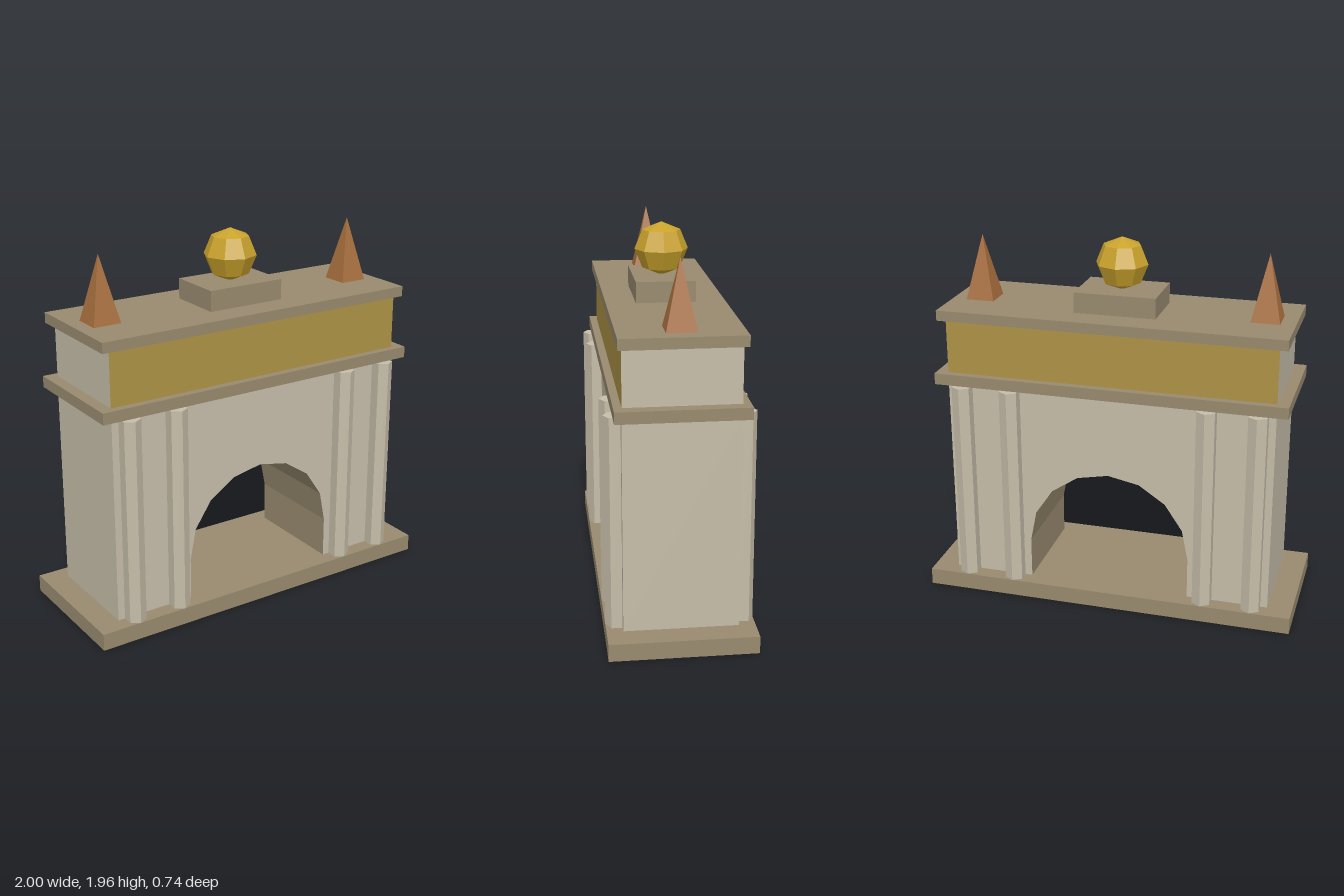
import * as THREE from 'three';

const mat = (name, color) => {
  const m = new THREE.MeshStandardMaterial({ color });
  m.name = name;
  m.flatShading = true;
  return m;
};

export function createModel() {
  const group = new THREE.Group();
  group.name = 'triumphalArch';
  const stone = mat('pale stone', 0xc6bda9);
  const trim = mat('dark stone trim', 0x988a6e);
  const panel = mat('ochre panel', 0xae9346);
  const copper = mat('copper brown', 0xa86f3e);
  const gold = mat('gold', 0xc9a22c);

  const add = (name, geometry, material, x = 0, y = 0, z = 0) => {
    const mesh = new THREE.Mesh(geometry, material);
    mesh.name = name;
    mesh.position.set(x, y, z);
    group.add(mesh);
    return mesh;
  };
  // Centred slab given by half width, bottom, top and half depth
  const slab = (name, hx, y0, y1, hz, material) =>
    add(name, new THREE.BoxGeometry(hx * 2, y1 - y0, hz * 2), material, 0, (y0 + y1) / 2);

  slab('base', 1, 0, 0.09, 0.37, trim);

  // Body with an eight-sided arch opening
  const r = 0.436, spring = 0.31, bottom = 0.09, top = 1.18, halfDepth = 0.287;
  const outline = [[-r, bottom], [-0.87, bottom], [-0.87, top], [0.87, top], [0.87, bottom], [r, bottom]];
  for (let i = 0; i <= 8; i++) {
    const a = (i / 8) * Math.PI;
    outline.push([r * Math.cos(a), spring + r * Math.sin(a)]);
  }
  const shape = new THREE.Shape(outline.map(([x, y]) => new THREE.Vector2(x, y)));
  const bodyGeo = new THREE.ExtrudeGeometry(shape, { depth: halfDepth * 2, bevelEnabled: false });
  bodyGeo.translate(0, 0, -halfDepth);
  // The inside of the opening takes the trim colour, outer walls stay pale
  const [caps, sides] = bodyGeo.groups;
  const pos = bodyGeo.attributes.position;
  bodyGeo.clearGroups();
  bodyGeo.addGroup(caps.start, caps.count, 0);
  for (let i = sides.start; i < sides.start + sides.count; i += 3) {
    const inside = [0, 1, 2].every((k) => Math.abs(pos.getX(i + k)) < r + 0.01);
    bodyGeo.addGroup(i, 3, inside ? 1 : 0);
  }
  add('archBody', bodyGeo, [stone, trim]);

  // Hexagonal columns, front and back
  const columnGeo = new THREE.CylinderGeometry(0.055, 0.055, top - bottom, 6);
  for (const z of [-0.315, 0.315])
    for (const x of [-0.785, -0.523, 0.523, 0.785])
      add('column', columnGeo, stone, x, (top + bottom) / 2, z);

  slab('cornice', 0.933, 1.18, 1.24, 0.325, trim);
  // Attic: pale ends, ochre front and back
  slab('attic', 0.87, 1.24, 1.525, 0.285, [stone, stone, stone, stone, panel, panel]);
  slab('cap', 0.913, 1.525, 1.58, 0.305, trim);
  slab('pedestal', 0.216, 1.58, 1.688, 0.153, trim);

  add('orb', new THREE.SphereGeometry(0.139, 8, 4), gold, 0, 1.818, 0);

  // Square spires at both ends
  const spireGeo = new THREE.ConeGeometry(0.075 * Math.SQRT2, 0.34, 4);
  spireGeo.rotateY(Math.PI / 4);
  for (const x of [-0.76, 0.76]) add('spire', spireGeo, copper, x, 1.75, 0);

  return group;
}
